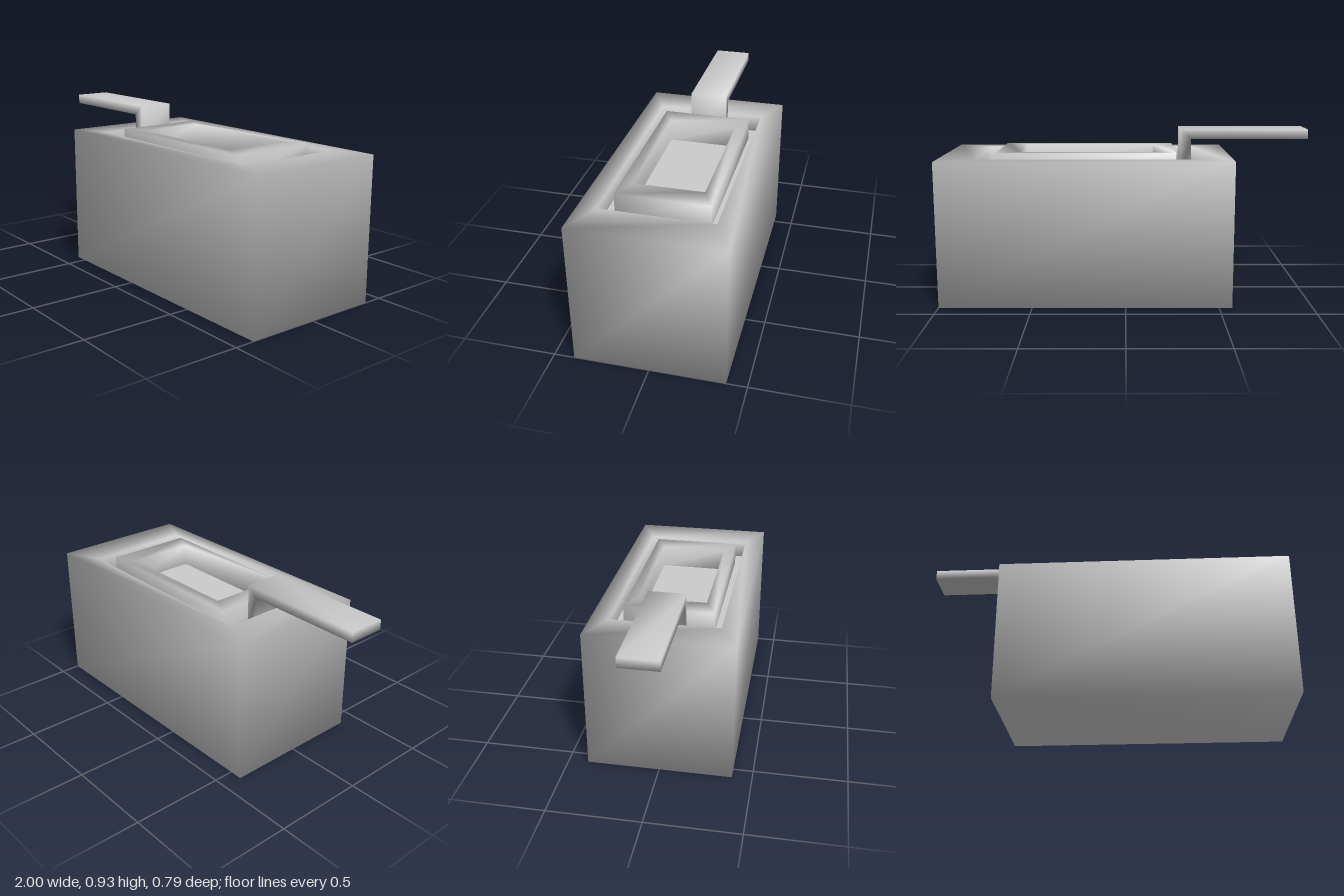
import * as THREE from 'three';
import { mergeVertices } from 'three/addons/utils/BufferGeometryUtils.js';

const FLOOR = 0.69;

// Shared corners with averaged normals give the soft shading
function smooth(geo) {
  geo.deleteAttribute('normal');
  geo.deleteAttribute('uv');
  const merged = mergeVertices(geo, 1e-4);
  merged.computeVertexNormals();
  return merged;
}

// Rectangular shell lofted through rings of [x0, x1, halfDepth, y]
function rectLoft(rings, capBottom) {
  const pos = [], index = [];
  for (const [x0, x1, d, y] of rings) {
    pos.push(x0, y, d, x1, y, d, x1, y, -d, x0, y, -d);
  }
  for (let r = 0; r < rings.length - 1; r++) {
    for (let i = 0; i < 4; i++) {
      const a = r * 4 + i, b = r * 4 + (i + 1) % 4;
      index.push(a, b, b + 4, a, b + 4, a + 4);
    }
  }
  if (capBottom) index.push(0, 2, 1, 0, 3, 2);
  const geo = new THREE.BufferGeometry();
  geo.setAttribute('position', new THREE.Float32BufferAttribute(pos, 3));
  geo.setIndex(index);
  geo.computeVertexNormals();
  return geo;
}

export function createModel() {
  const group = new THREE.Group();
  const grey = new THREE.MeshStandardMaterial({ color: 0xcccccc, side: THREE.DoubleSide });
  grey.name = 'plain grey';

  const add = (name, geo) => {
    const mesh = new THREE.Mesh(geo, grey);
    mesh.name = name;
    group.add(mesh);
    return mesh;
  };

  // Outer box with a rim and an open recess in its top
  add('body', rectLoft([
    [-0.57, 1, 0.393, 0],
    [-0.57, 1, 0.393, 0.785],
    [-0.38, 0.8, 0.295, 0.785],
    [-0.38, 0.8, 0.295, FLOOR],
  ], true));

  // Flat floor of the recess
  const floor = add('recessFloor', new THREE.PlaneGeometry(1.18, 0.59).rotateX(-Math.PI / 2));
  floor.position.set(0.21, FLOOR, 0);

  // Raised inner frame standing on the floor
  add('innerFrame', rectLoft([
    [-0.27, 0.695, 0.243, FLOOR],
    [-0.27, 0.695, 0.243, 0.812],
    [-0.155, 0.575, 0.185, 0.812],
    [-0.155, 0.575, 0.185, FLOOR],
  ], false));

  // L-shaped handle rising from the gap and reaching out sideways
  const profile = new THREE.Shape([
    [-0.36, FLOOR], [-0.3, FLOOR], [-0.3, 0.925],
    [-1, 0.925], [-1, 0.872], [-0.36, 0.872],
  ].map(([x, y]) => new THREE.Vector2(x, y)));
  const bar = new THREE.ExtrudeGeometry(profile, { depth: 0.202, bevelEnabled: false });
  add('handle', smooth(bar.translate(0, 0, -0.101)));

  return group;
}
